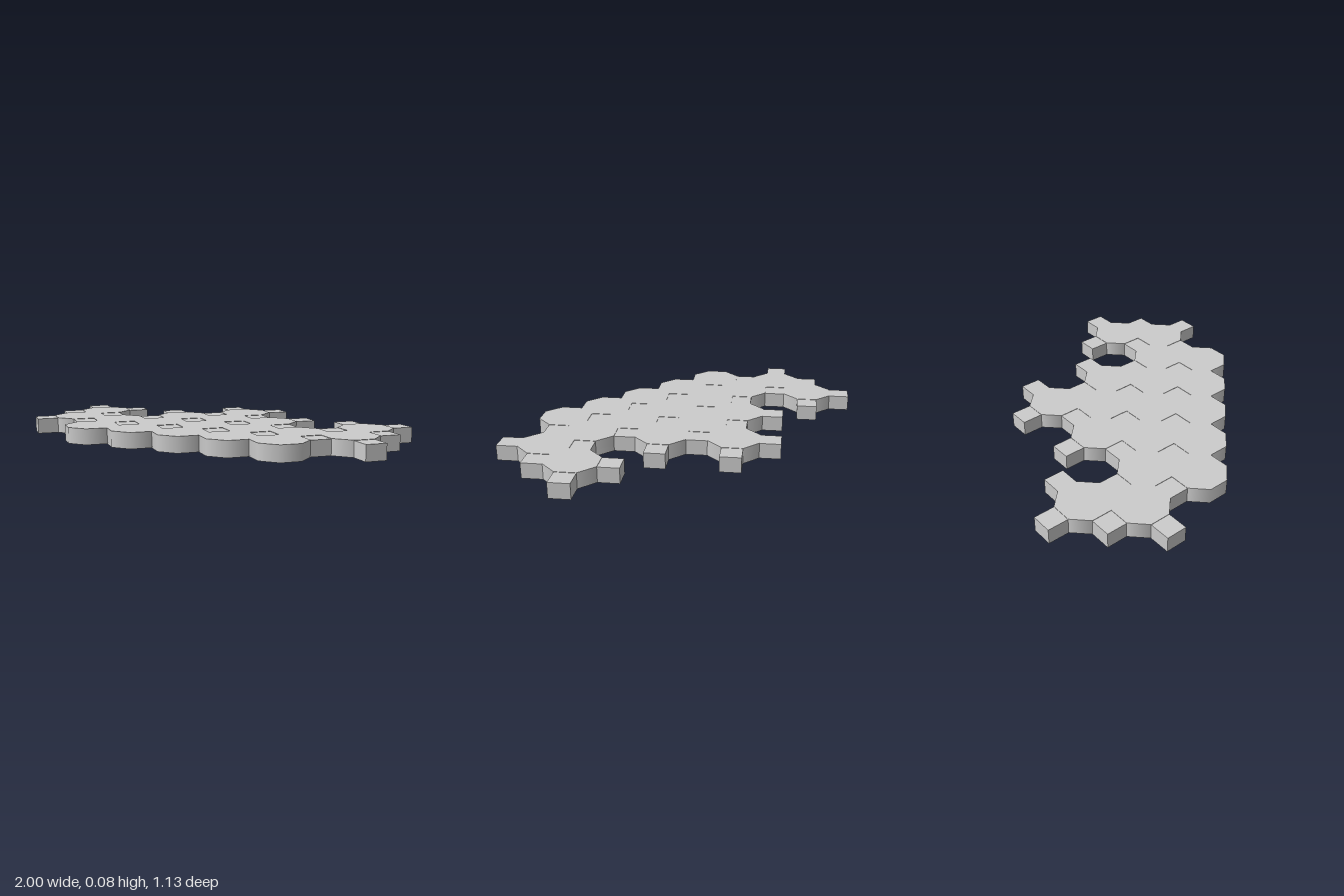
import * as THREE from 'three';

export function createModel() {
  const group = new THREE.Group();
  const material = new THREE.MeshStandardMaterial({ color: 0xcccccc });

  const pitch = 0.26366;                                // spacing of the square grid
  const side = pitch * Math.tan(Math.PI / 8);           // edge of a regular octagon
  const radius = pitch / 2 / Math.cos(Math.PI / 8);
  const tileHeight = 0.083, linkHeight = 0.081;
  const backZ = -0.4888;                                // back edge of the first row

  // Smooth-sided octagonal tile, flats facing the axes
  const tileGeometry = new THREE.CylinderGeometry(radius, radius, tileHeight, 8);
  tileGeometry.rotateY(Math.PI / 8);
  tileGeometry.translate(0, tileHeight / 2, 0);

  // Square link, turned to fill the gap between four octagons
  const linkGeometry = new THREE.BoxGeometry(side, linkHeight, side);
  linkGeometry.rotateY(Math.PI / 4);
  linkGeometry.translate(0, linkHeight / 2, 0);

  const place = (name, geometry, column, row) => {
    const mesh = new THREE.Mesh(geometry, material);
    mesh.name = name;
    mesh.position.set(column * pitch, 0, backZ + row * pitch);
    group.add(mesh);
  };

  // Columns occupied by tiles, row by row from the back
  const tileRows = [
    [0],
    [-3, -1, 0, 1, 3],
    [-3, -2, -1, 0, 1, 2, 3],
    [-2, -1, 0, 1, 2],
  ];
  tileRows.forEach((columns, row) =>
    columns.forEach((column) => place('octagonTile', tileGeometry, column, row + 0.5)));

  // Mirrored links on the grid corners behind each row
  const linkPairs = [1, 4, 4, 4];
  linkPairs.forEach((count, row) => {
    for (let i = 0; i < count; i++) {
      for (const s of [-1, 1]) place('squareLink', linkGeometry, s * (i + 0.5), row);
    }
  });

  return group;
}
